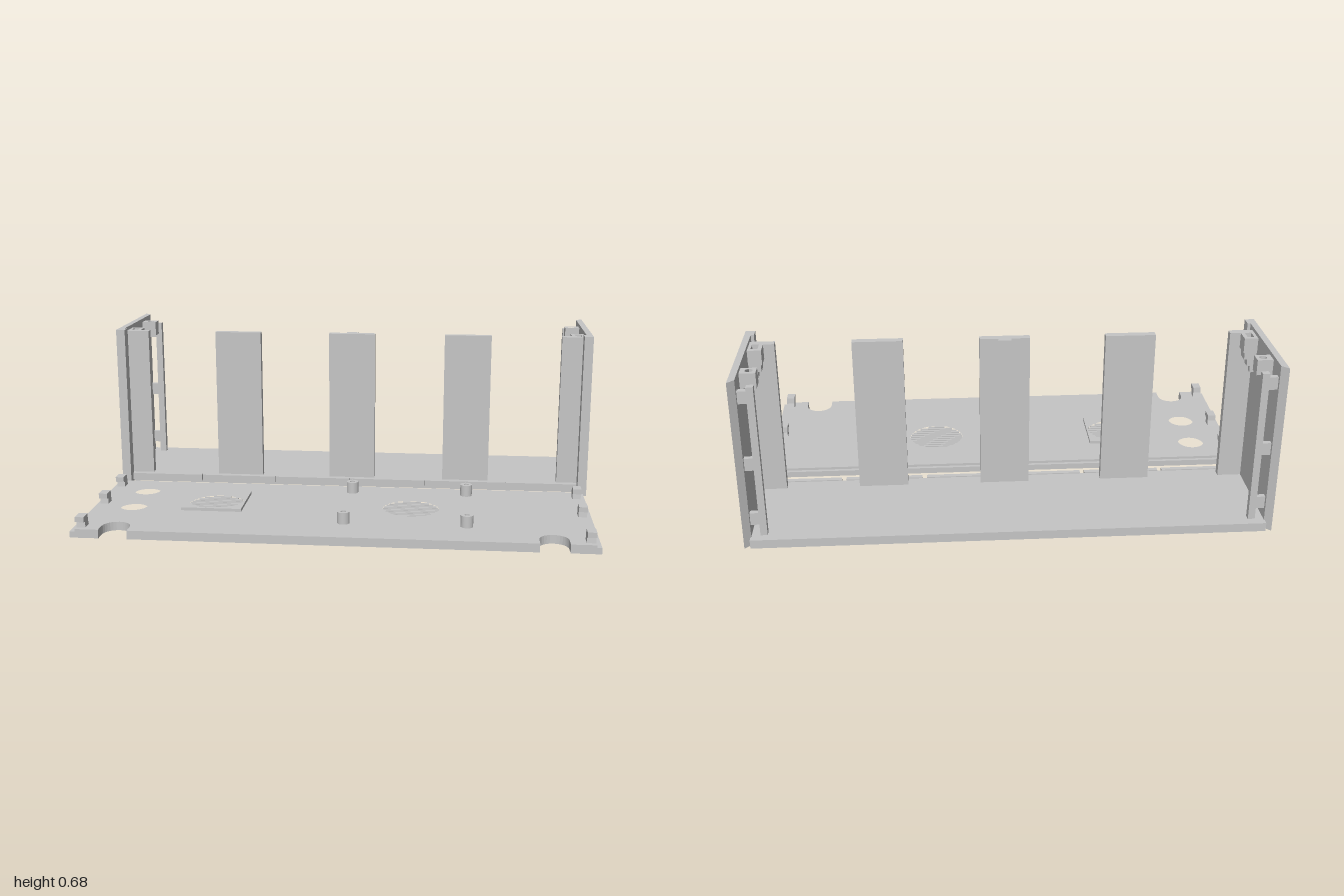
import * as THREE from 'three';

export function createModel() {
  const model = new THREE.Group();
  const grey = new THREE.MeshStandardMaterial({ color: 0xc6c6c6 });
  grey.name = 'light grey';

  const add = (parent, name, geo) => {
    const mesh = new THREE.Mesh(geo, grey);
    mesh.name = name;
    parent.add(mesh);
    return mesh;
  };
  // Box given by its extents; the order of each pair does not matter
  const box = (parent, name, x0, x1, y0, y1, z0, z1) => add(parent, name,
    new THREE.BoxGeometry(Math.abs(x1 - x0), y1 - y0, Math.abs(z1 - z0))
      .translate((x0 + x1) / 2, (y0 + y1) / 2, (z0 + z1) / 2));
  // Outline of [x, z] points and round holes [x, z, r]
  const outline = (pts, holes = []) => {
    const shape = new THREE.Shape(pts.map(([x, z]) => new THREE.Vector2(x, -z)));
    for (const [x, z, r] of holes) {
      shape.holes.push(new THREE.Path().absarc(x, -z, r, 0, Math.PI * 2, true));
    }
    return shape;
  };
  const rect = (x0, x1, z0, z1) => [[x0, z0], [x1, z0], [x1, z1], [x0, z1]];
  // Outline in plan, raised from y0 to y1
  const slab = (parent, name, shape, y0, y1) => add(parent, name,
    new THREE.ExtrudeGeometry(shape, { depth: y1 - y0, bevelEnabled: false, curveSegments: 20 })
      .rotateX(-Math.PI / 2).translate(0, y0, 0));

  // ---- Tray: floor, two end walls and upright tabs ----
  const tray = new THREE.Group();
  tray.name = 'tray';
  model.add(tray);
  box(tray, 'trayFloor', -0.978, 0.978, 0, 0.035, -0.6, -0.163);
  // Front lip broken by five narrow gaps
  const gaps = [-0.648, -0.325, 0.002, 0.325, 0.655];
  const starts = [-0.985, ...gaps.map((x) => x + 0.009)];
  const ends = [...gaps.map((x) => x - 0.009), 0.985];
  starts.forEach((x, i) => box(tray, 'floorLip', x, ends[i], 0.012, 0.039, -0.165, -0.145));
  for (const x of [-0.49, 0, 0.49]) {
    box(tray, 'uprightTab', x - 0.098, x + 0.098, 0.03, 0.665, -0.215, -0.185);
  }
  box(tray, 'middleTabBoss', -0.025, 0.025, 0.58, 0.665, -0.235, -0.21);

  for (const s of [-1, 1]) {
    const side = new THREE.Group();
    side.name = s > 0 ? 'leftEnd' : 'rightEnd';
    tray.add(side);
    const mirror = (pts) => pts.map(([x, z]) => [s * x, z]);
    slab(side, 'endWall', outline(mirror([[1, -0.6], [1, -0.11], [0.963, -0.11],
      [0.963, -0.155], [0.975, -0.155], [0.975, -0.575]])), 0, 0.68);
    box(side, 'cornerTab', s * 0.88, s * 0.98, 0.03, 0.665, -0.215, -0.185);
    // Thin rear rail, held off the wall by small bridges
    box(side, 'rearRail', s * 0.915, s * 0.942, 0.03, 0.645, -0.565, -0.54);
    for (const y of [0.08, 0.31, 0.58]) {
      box(side, 'railBridge', s * 0.94, s * 0.98, y, y + 0.05, -0.562, -0.543);
    }
    // Screw blocks near the top of the wall, the front one with an open nut slot
    slab(side, 'rearScrewBlock', outline(mirror(rect(0.915, 0.98, -0.485, -0.435)),
      [[s * 0.942, -0.46, 0.014]]), 0.605, 0.665);
    slab(side, 'frontScrewBlock', outline(mirror([[0.922, -0.275], [0.98, -0.275],
      [0.98, -0.21], [0.963, -0.21], [0.963, -0.258], [0.937, -0.258], [0.937, -0.21],
      [0.922, -0.21]])), 0.605, 0.665);
    // Stepped support narrowing downwards
    [0.05, 0.035, 0.02].forEach((w, i) => {
      box(side, 'blockSupport', s * (0.978 - w), s * 0.978,
        0.575 - i * 0.03, 0.605 - i * 0.03, -0.245 - w / 2, -0.245 + w / 2);
    });
  }

  // ---- Cover plate lying in front of the tray ----
  const cover = new THREE.Group();
  cover.name = 'coverPlate';
  model.add(cover);
  const vents = [[-0.513, 0.217, 0.115], [0.273, 0.217, 0.115]];
  const holes = [[-0.835, 0.09, 0.055], [-0.835, 0.3, 0.055], ...vents];
  // Round-ended notch in the front edge, walked from right to left
  const notch = (cx) => {
    const pts = [[cx + 0.055, 0.6]];
    for (let i = 0; i <= 14; i++) {
      const a = (i / 14) * Math.PI;
      pts.push([cx + 0.055 * Math.cos(a), 0.555 - 0.055 * Math.sin(a)]);
    }
    pts.push([cx - 0.055, 0.6]);
    return pts;
  };
  const plate = (x0, x1, z0) => outline(
    [[x0, z0], [x1, z0], [x1, 0.6], ...notch(0.812), ...notch(-0.835), [x0, 0.6]], holes);
  slab(cover, 'plateBase', plate(-1, 0.98, -0.06), 0, 0.024);
  slab(cover, 'plateStep', plate(-0.98, 0.962, -0.046), 0.024, 0.034);

  // Vent grilles: parallel bars cut to the circle
  for (const [cx, cz, r] of vents) {
    for (let i = -6; i <= 6; i++) {
      const z = i * 0.0182;
      const half = Math.sqrt(r * r - z * z);
      box(cover, 'ventBar', cx - half, cx + half, 0.001, 0.023, cz + z - 0.005, cz + z + 0.005);
    }
  }
  slab(cover, 'ventFrame', outline(rect(-0.633, -0.393, 0.097, 0.338), [vents[0]]), 0.034, 0.046);

  // Hollow screw posts
  for (const x of [0.022, 0.493]) {
    for (const z of [0.032, 0.432]) {
      const ring = new THREE.Shape().absarc(x, -z, 0.024, 0, Math.PI * 2);
      ring.holes.push(new THREE.Path().absarc(x, -z, 0.01, 0, Math.PI * 2, true));
      slab(cover, 'screwPost', ring, 0.034, 0.08);
    }
  }

  // Hooked clips along both ends
  for (const x of [-0.979, 0.926]) {
    for (const z of [0.003, 0.237, 0.535]) {
      const hook = new THREE.Shape([[0, 0.03], [0.044, 0.03], [0.041, 0.055], [0.06, 0.06],
        [0.06, 0.08], [0.01, 0.08], [0.008, 0.055]].map(([a, b]) => new THREE.Vector2(-a, b)));
      add(cover, 'clip', new THREE.ExtrudeGeometry(hook, { depth: 0.034, bevelEnabled: false })
        .rotateY(Math.PI / 2).translate(x, 0, z));
    }
  }
  return model;
}
